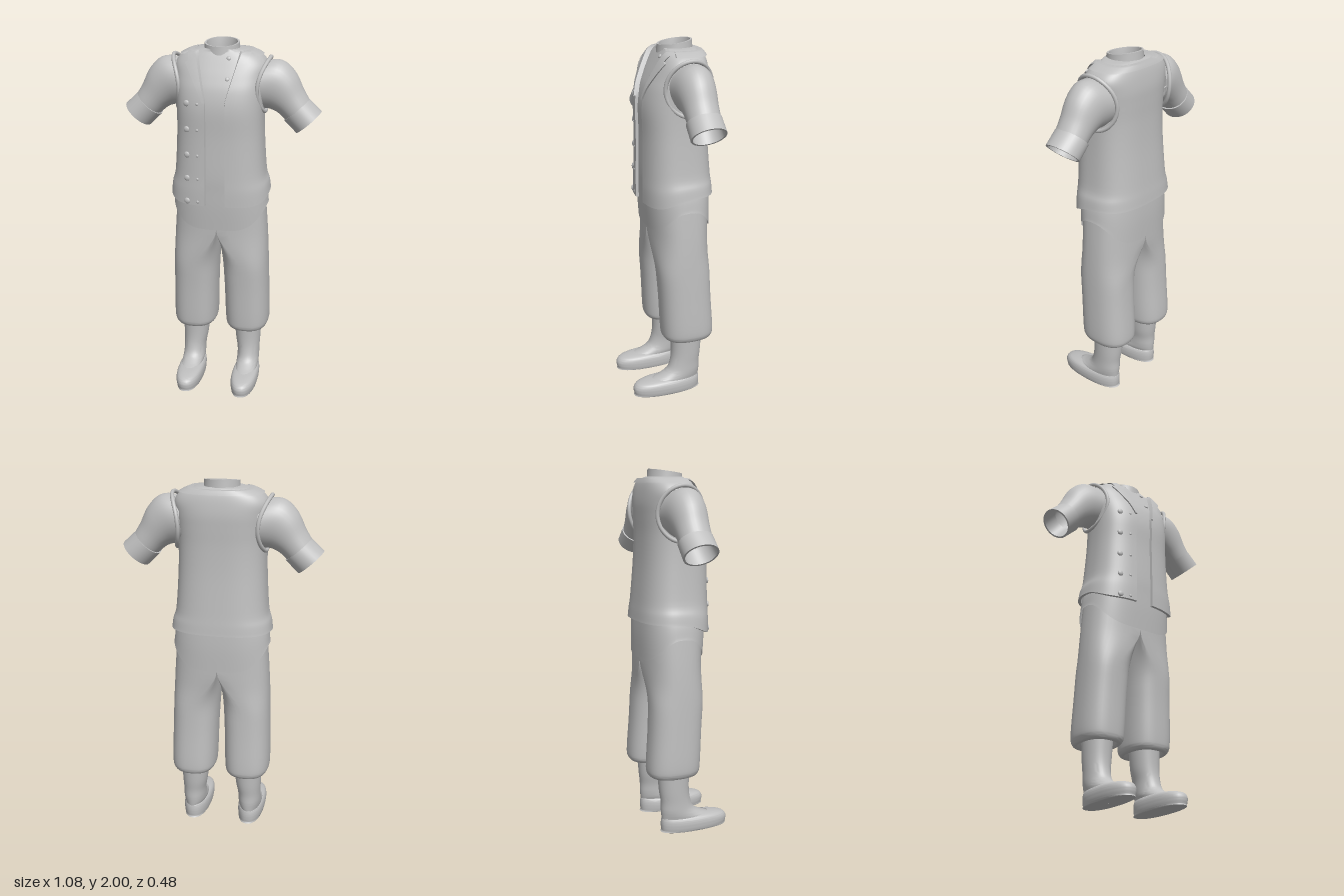
import * as THREE from 'three';
import { toCreasedNormals } from 'three/addons/utils/BufferGeometryUtils.js';

const { lerp, smoothstep, clamp, degToRad } = THREE.MathUtils;
const cloth = new THREE.MeshStandardMaterial({ color: 0xbfbfbf, side: THREE.DoubleSide });
cloth.name = 'grey cloth';

// Smooth interpolation between the rows of a section table
function row(table, t) {
  const n = table.length - 1, i = clamp(Math.floor(t), 0, n - 1), f = t - i;
  const [a, b, c, d] = [i - 1, i, i + 1, i + 2].map(k => table[clamp(k, 0, n)]);
  return b.map((v, k) => v + 0.5 * f * (c[k] - a[k] +
    f * (2 * a[k] - 5 * v + 4 * c[k] - d[k] + f * (3 * (v - c[k]) + d[k] - a[k]))));
}

// Surface from a grid of points, fn(i, j) -> [x, y, z]
function surface(name, nu, nv, fn, crease = 0.9) {
  const pos = [], idx = [];
  for (let j = 0; j <= nv; j++) for (let i = 0; i <= nu; i++) pos.push(...fn(i, j));
  for (let j = 0; j < nv; j++) for (let i = 0; i < nu; i++) {
    const a = j * (nu + 1) + i, b = a + nu + 1;
    idx.push(a, a + 1, b + 1, a, b + 1, b);
  }
  const geo = new THREE.BufferGeometry();
  geo.setAttribute('position', new THREE.Float32BufferAttribute(pos, 3));
  geo.setIndex(idx);
  return named(name, toCreasedNormals(geo, crease));
}

function named(name, geo) {
  const mesh = new THREE.Mesh(geo, cloth);
  mesh.name = name;
  return mesh;
}

// Rounded oval in plan; angle 0 faces the front, a quarter turn faces +x
const pw = (v, n) => Math.sign(v) * Math.abs(v) ** (2 / n);
function oval(th, x0, x1, zf, zb, n) {
  return [(x0 + x1) / 2 + (x1 - x0) / 2 * pw(Math.sin(th), n),
    (zf + zb) / 2 + (zf - zb) / 2 * pw(Math.cos(th), n)];
}

// Torso sections: y, half width, front z, back z
const N = 2.7;
const vestRows = [
  [1.13, 0.275, 0.145, -0.238], [1.21, 0.267, 0.147, -0.234], [1.3, 0.25, 0.146, -0.228],
  [1.5, 0.237, 0.144, -0.212], [1.65, 0.235, 0.147, -0.206], [1.75, 0.24, 0.132, -0.207],
  [1.82, 0.245, 0.106, -0.207], [1.88, 0.248, 0.078, -0.2], [1.925, 0.215, 0.056, -0.19],
  [1.952, 0.16, 0.042, -0.178]];
const shirtRows = [
  [0.98, 0.28, 0.127, -0.235], [1.1, 0.272, 0.137, -0.237], [1.2, 0.264, 0.142, -0.234],
  ...vestRows.slice(2), [1.96, 0.105, 0.045, -0.165]];

function torsoPoint(table, t, th, off) {
  const [y, a, zf, zb] = row(table, t);
  const [x, z] = oval(th, -a - off, a + off, zf + off, zb - off, N);
  return [x, y, z];
}
// Angle at which a torso section reaches the given x
const angleAt = (t, x) => Math.asin(Math.min(1, (x / row(vestRows, t)[1]) ** (N / 2)));
function levelAt(y) {
  let lo = 0, hi = vestRows.length - 1;
  for (let k = 0; k < 30; k++) {
    const mid = (lo + hi) / 2;
    if (row(vestRows, mid)[0] < y) lo = mid; else hi = mid;
  }
  return lo;
}
const frontEdge = y => 0.055 + 0.065 * clamp((y - 1.7) / 0.25, 0, 1);

function vest() {
  const nu = 64, nv = 44;
  return surface('vest', nu, nv, (i, j) => {
    const rim = i === 0 || j === 0 || i === nu || j === nv;
    const t = 9 * clamp((j - 1) / (nv - 2), 0, 1);
    const e = angleAt(t, frontEdge(row(vestRows, t)[0]));
    const th = lerp(e, 2 * Math.PI - e, clamp((i - 1) / (nu - 2), 0, 1));
    const p = torsoPoint(vestRows, t, th, rim ? -0.015 : 0);
    p[1] += 0.06 * smoothstep(-Math.cos(th), -0.9, 0.2) * Math.max(0, 1 - t / 2);
    return p;
  });
}

function shirt() {
  const g = new THREE.Group();
  g.name = 'shirt';
  // body with a curved tail
  g.add(surface('shirtBody', 64, 50, (i, j) => {
    const t = j / 50 * (shirtRows.length - 1), th = i / 64 * Math.PI * 2;
    const p = torsoPoint(shirtRows, t, th, -0.015);
    p[1] += 0.13 * Math.abs(Math.sin(th)) ** 3 * Math.max(0, 1 - t / 2);
    return p;
  }));
  // standing neck band: radius, height
  const band = [[0.098, 1.93], [0.095, 1.96], [0.093, 1.987], [0.083, 1.987], [0.078, 1.95], [0.076, 1.88]];
  g.add(surface('neckBand', 40, 5, (i, j) => {
    const th = i / 40 * Math.PI * 2, [r, y] = band[j];
    return [r * Math.sin(th), y - 0.013 * Math.cos(th), -0.058 + r * Math.cos(th)];
  }));
  return g;
}

// Lapel lying on the vest, widening to a notch
function lapel() {
  const nu = 8, nv = 24, t0 = levelAt(1.7);
  return surface('lapel', nu, nv, (i, j) => {
    const rim = i === 0 || j === 0 || i === nu || j === nv;
    const v = clamp((j - 1) / (nv - 2), 0, 1), t = lerp(t0, 8.9, v);
    const inner = frontEdge(row(vestRows, t)[0]) - 0.004;
    const width = v < 0.68 ? 0.012 + 0.085 * v : 0.045;
    const u = clamp((i - 1) / (nu - 2), 0, 1);
    return torsoPoint(vestRows, t, angleAt(t, Math.min(inner + width * u, row(vestRows, t)[1] * 0.97)), rim ? 0 : 0.011);
  });
}

// Collar running over the shoulders and behind the neck
function collar() {
  const nu = 40, nv = 6;
  return surface('collar', nu, nv, (i, j) => {
    const rim = i === 0 || j === 0 || i === nu || j === nv;
    const t = lerp(8.1, 9, clamp((j - 1) / (nv - 2), 0, 1));
    const th = lerp(1.0, 2 * Math.PI - 1.0, i / nu);
    return torsoPoint(vestRows, t, th, rim ? -0.004 : 0.012);
  });
}

// Sleeve sections: centre x, y, downward tilt, radius in plane, radius in z
const sleeveRows = [[0.2, 1.775, 5, 0.12, 0.115], [0.27, 1.773, 20, 0.138, 0.106],
  [0.322, 1.743, 36, 0.122, 0.098], [0.37, 1.69, 47, 0.094, 0.09], [0.412, 1.64, 48, 0.083, 0.087]];
const cuffRows = [[0.41, 1.645, 48, 0.076, 0.08], [0.405, 1.642, 48, 0.087, 0.094],
  [0.473, 1.577, 48, 0.0885, 0.095], [0.473, 1.577, 48, 0.078, 0.084], [0.41, 1.645, 48, 0.074, 0.078]];
function tiltedRing([x, y, tilt, r, rz], th) {
  const a = degToRad(tilt), c = Math.cos(th) * r;
  return [x + Math.sin(a) * c, y + Math.cos(a) * c, -0.06 + rz * Math.sin(th)];
}
function arm() {
  const g = new THREE.Group(), turn = i => i / 32 * Math.PI * 2;
  g.add(surface('sleeve', 32, 20, (i, j) => tiltedRing(row(sleeveRows, j / 5), turn(i))));
  g.add(surface('cuff', 32, 4, (i, j) => tiltedRing(cuffRows[j], turn(i))));
  // rim of the vest armhole
  const rim = Array.from({ length: 24 }, (_, k) => {
    const th = k / 24 * Math.PI * 2, s = Math.sin(th), c = Math.cos(th);
    return new THREE.Vector3(0.25 - 0.04 * s * s + 0.012 * c, 1.772 + 0.145 * c, -0.058 + 0.128 * s);
  });
  g.add(named('armholeRim', new THREE.TubeGeometry(new THREE.CatmullRomCurve3(rim, true), 48, 0.011, 8, true)));
  return g;
}

// Leg sections: y, inner x, outer x, front z, back z
const trouserRows = [
  [0.36, 0.08, 0.23, 0.01, -0.165], [0.332, 0.06, 0.25, 0.04, -0.2], [0.347, 0.036, 0.271, 0.062, -0.222],
  [0.4, 0.028, 0.28, 0.07, -0.226], [0.6, 0.022, 0.276, 0.08, -0.212], [0.8, 0.012, 0.27, 0.095, -0.205],
  [0.95, 0.005, 0.262, 0.103, -0.212], [1.1, 0, 0.25, 0.108, -0.212], [1.2, 0, 0.24, 0.108, -0.21]];
const sockRows = [
  [0.05, 0.105, 0.225, 0.14, -0.145], [0.08, 0.103, 0.227, 0.14, -0.148], [0.1, 0.1, 0.228, 0.09, -0.15],
  [0.13, 0.1, 0.228, 0.042, -0.152], [0.18, 0.098, 0.228, 0.02, -0.152], [0.25, 0.086, 0.231, 0.012, -0.16],
  [0.37, 0.075, 0.236, 0.015, -0.167]];
const shoeRows = [
  [0, 0.16, 0.165, 0.05, 0.04], [0, 0.1, 0.225, 0.225, -0.138], [0.012, 0.09, 0.236, 0.24, -0.149],
  [0.045, 0.087, 0.24, 0.245, -0.152], [0.07, 0.091, 0.236, 0.228, -0.15], [0.083, 0.101, 0.226, 0.185, -0.146],
  [0.09, 0.118, 0.21, 0.13, -0.13]];

function legLoft(name, table, n, hip) {
  const nv = (table.length - 1) * 5;
  return surface(name, 40, nv, (i, j) => {
    const [y, x0, x1, zf, zb] = row(table, j / 5), th = i / 40 * Math.PI * 2;
    let [x, z] = oval(th, x0, x1, zf, zb, n);
    if (hip) {
      // merge into one half of the hips towards the waist
      const k = smoothstep(y, 0.72, 0.98);
      const [hx, hz] = th <= Math.PI ? oval(th, -x1, x1, zf, zb, N) : [0, oval(th, x0, x1, zf, zb, 2)[1]];
      x = lerp(x, hx, k);
      z = lerp(z, hz, k);
    }
    return [x, Math.max(y, 0), z];
  });
}
function leg() {
  const g = new THREE.Group();
  g.add(legLoft('trouserLeg', trouserRows, 2.5, true), legLoft('sock', sockRows, 2.1), legLoft('shoe', shoeRows, 2.3));
  return g;
}

function button(name, x, y, r, off) {
  const t = levelAt(y), a = angleAt(t, Math.abs(x)) * Math.sign(x);
  const b = named(name, new THREE.SphereGeometry(r, 14, 8));
  b.scale.z = 0.5;
  b.position.set(...torsoPoint(vestRows, t, a, off));
  b.rotation.set(y > 1.75 ? -0.6 : 0, a * 0.3, 0);
  return b;
}

export function createModel() {
  const model = new THREE.Group();
  model.name = 'outfit';
  model.add(shirt(), vest(), collar());
  for (const [side, s] of [['left', 1], ['right', -1]]) {
    for (const [part, make] of [['Arm', arm], ['Leg', leg], ['Lapel', lapel]]) {
      const g = new THREE.Group();
      g.name = side + part;
      g.add(make());
      g.scale.x = s;
      model.add(g);
    }
  }
  for (const y of [1.69, 1.55, 1.41, 1.28, 1.15]) {
    model.add(button('vestButton', -0.155, y, 0.017, 0), button('smallVestButton', -0.095, y, 0.008, 0));
  }
  for (const y of [1.92, 1.82]) model.add(button('shirtButton', 0.06, y, 0.012, -0.013));
  return model;
}
